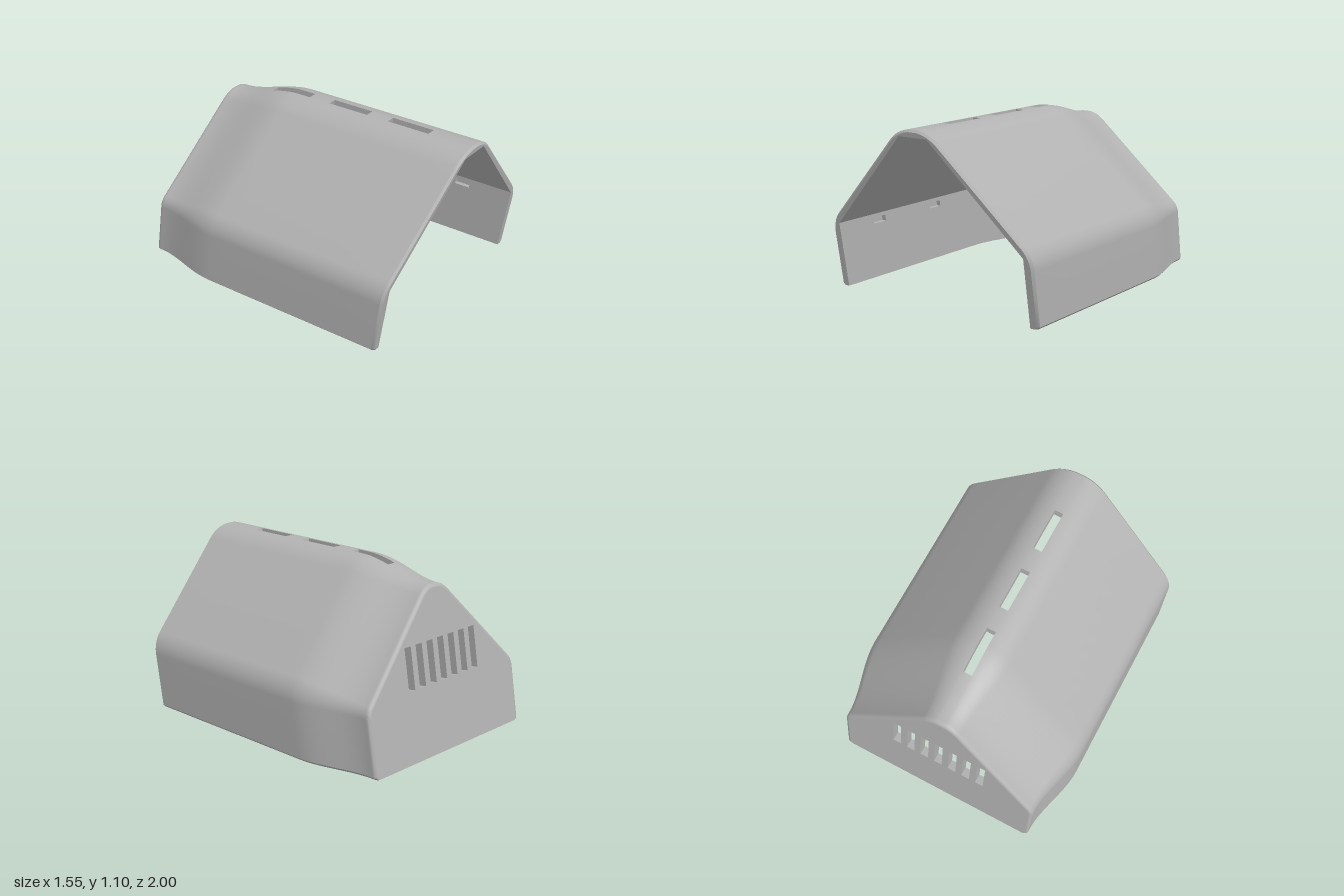
import * as THREE from 'three';
import { toCreasedNormals } from 'three/addons/utils/BufferGeometryUtils.js';

const LEAN = 0.165;                      // both ends lean forward with height
const BACK = -1, FRONT = 0.82, PANEL = 0.06;
const ROOF_SLOTS = [[-0.67, -0.375], [-0.22, 0.065], [0.22, 0.51]];
const NOTCHES = [[-0.145, -0.035], [0.405, 0.515]];

const mirror = half => [...half, ...half.map(([x, y]) => [-x, y]).reverse()];
const place = ([x, y], s) => [x, y, s + LEAN * y];
const inside = (list, a, b) => list.some(([p, q]) => a > p - 1e-4 && b < q + 1e-4);

// Rounded outer arch, moved inwards by o
function outerArch(o) {
  const half = [[0.76 - o, 0], [0.775 - o, 0.015]];
  for (let i = 0; i <= 10; i++) {
    const a = Math.PI / 4 * i / 10, r = 0.2 - o;
    half.push([0.575 + r * Math.cos(a), 0.352 + r * Math.sin(a)]);
  }
  const r = 0.27 - o, end = Math.acos(0.03 / r);
  for (let i = 0; i <= 10; i++) {
    const a = Math.PI / 4 + (end - Math.PI / 4) * i / 10;
    half.push([r * Math.cos(a), 0.828 + r * Math.sin(a)]);
  }
  return mirror(half);
}

// Faceted inner arch, narrowed by d
const innerArch = d => mirror([
  [0.715 - d, 0], [0.715 - d, 0.36], [0.715 - d, 0.4], [0.715 - d, 0.425],
  [0.105, 1.05 - d], [0.03, 1.05 - d],
]);

// The rear narrows along an S curve; both ends have a small edge break
const taper = s => THREE.MathUtils.smoothstep(-s, 0.47, 0.97);
function outerOffset(s) {
  let o = 0.095 * taper(s);
  if (s < -0.98) o += 0.02 - Math.sqrt(Math.max(0, 0.02 ** 2 - (-0.98 - s) ** 2));
  if (s > 0.805) o += s - 0.805;
  return o;
}
const outerRow = s => outerArch(outerOffset(s)).map(p => place(p, s));
const innerRow = s => innerArch(0.09 * taper(s)).map(p => place(p, s));

function quadGeometry(quads, crease) {
  const pos = [];
  for (const [a, b, c, d] of quads) pos.push(...a, ...b, ...c, ...a, ...c, ...d);
  const g = new THREE.BufferGeometry();
  g.setAttribute('position', new THREE.Float32BufferAttribute(pos, 3));
  if (crease) return toCreasedNormals(g, crease);
  g.computeVertexNormals();
  return g;
}

// Skin over rows of points, leaving out the cells where skip() is true
function skin(stations, row, flip, skip) {
  const quads = [], rows = stations.map(row);
  for (let i = 0; i + 1 < rows.length; i++) {
    for (let j = 0; j + 1 < rows[i].length; j++) {
      if (skip(stations[i], stations[i + 1], j, rows[i].length)) continue;
      const q = [rows[i][j], rows[i][j + 1], rows[i + 1][j + 1], rows[i + 1][j]];
      quads.push(flip ? q.reverse() : q);
    }
  }
  return quads;
}

// Walls of an opening between two matching loops
const loopWalls = (top, bottom) => top.map((p, i) => {
  const k = (i + 1) % top.length;
  return [p, top[k], bottom[k], bottom[i]];
});

export function createModel() {
  const group = new THREE.Group();
  const grey = new THREE.MeshStandardMaterial({ color: 0xb2b2b2 });
  grey.name = 'plain grey';
  const add = (name, geometry) => {
    const mesh = new THREE.Mesh(geometry, grey);
    mesh.name = name;
    group.add(mesh);
  };

  // Stations along the length, with the opening edges among them
  const list = [...ROOF_SLOTS.flat(), ...NOTCHES.flat(), FRONT, -0.94];
  for (let i = 0; i <= 20; i++) list.push(-0.47 - 0.025 * i);
  const base = [...new Set(list.map(s => +s.toFixed(4)))].sort((a, b) => a - b);
  const outerStations = [BACK, -0.9973, -0.99, -0.98, ...base.filter(s => s < FRONT), 0.805, FRONT];
  const innerStations = base.filter(s => s >= BACK + PANEL - 1e-4);

  // Outer and inner skins
  const roofHole = (a, b, j, n) => j === n / 2 - 1 && inside(ROOF_SLOTS, a, b);
  add('outerShell', quadGeometry(skin(outerStations, outerRow, false, roofHole), 0.6));
  add('innerShell', quadGeometry(skin(innerStations, innerRow, true, (a, b, j, n) =>
    roofHole(a, b, j, n) || ((j === 1 || j === n - 3) && inside(NOTCHES, a, b))), 0.4));

  // Roof slot walls
  for (const [p, q] of ROOF_SLOTS) {
    const stations = base.filter(s => s >= p - 1e-4 && s <= q + 1e-4);
    const loop = row => {
      const sides = [0, -1].map(k => stations.map(s => { const r = row(s); return r[r.length / 2 + k]; }));
      return [...sides[0], ...sides[1].reverse()];
    };
    add('roofSlot', quadGeometry(loopWalls(loop(outerRow), loop(innerRow))));
  }

  // Shallow notches in the inner side walls
  for (const [p, q] of NOTCHES) {
    for (const j of [1, 9]) {
      const a = innerRow(p), b = innerRow(q);
      const top = [b[j], b[j + 1], a[j + 1], a[j]];
      const floor = top.map(([x, y, z]) => [x + 0.03 * Math.sign(x), y, z]);
      add('wallNotch', quadGeometry([...loopWalls(top, floor), floor]));
    }
  }

  // Bottom rims of the side walls
  const rim = side => s => {
    const pair = [outerRow(s)[0], innerRow(s)[0]];
    return side > 0 ? pair : pair.map(([x, y, z]) => [-x, y, z]).reverse();
  };
  for (const side of [1, -1]) {
    add('bottomRim', quadGeometry(skin(outerStations, rim(side), true, () => false)));
  }

  // Leaning front rim
  const toPoints = arch => arch.map(([x, y]) => new THREE.Vector2(x, y));
  const rimShape = new THREE.Shape([
    ...toPoints(outerArch(outerOffset(FRONT))), ...toPoints(innerArch(0)).reverse(),
  ]);
  const frontRim = new THREE.ShapeGeometry(rimShape);
  frontRim.applyMatrix4(new THREE.Matrix4().set(1, 0, 0, 0, 0, 1, 0, 0, 0, LEAN, 1, FRONT, 0, 0, 0, 1));
  frontRim.computeVertexNormals();
  add('frontRim', frontRim);

  // Back panel with seven vents cut square to its leaning face
  const panelShape = new THREE.Shape(toPoints(outerArch(outerOffset(BACK))));
  for (let i = -3; i <= 3; i++) {
    const x = i * 0.0985, w = 0.0275;
    panelShape.holes.push(new THREE.Path([
      new THREE.Vector2(x - w, 0.425), new THREE.Vector2(x - w, 0.685),
      new THREE.Vector2(x + w, 0.685), new THREE.Vector2(x + w, 0.425),
    ]));
  }
  const panel = new THREE.ExtrudeGeometry(panelShape, { depth: PANEL, bevelEnabled: false });
  const pos = panel.attributes.position;
  for (let i = 0; i < pos.count; i++) {
    const d = pos.getZ(i), y = Math.max(0, pos.getY(i) - LEAN * d);
    pos.setXYZ(i, pos.getX(i), y, BACK + LEAN * y + d);
  }
  panel.computeVertexNormals();
  add('backPanel', panel);

  return group;
}
